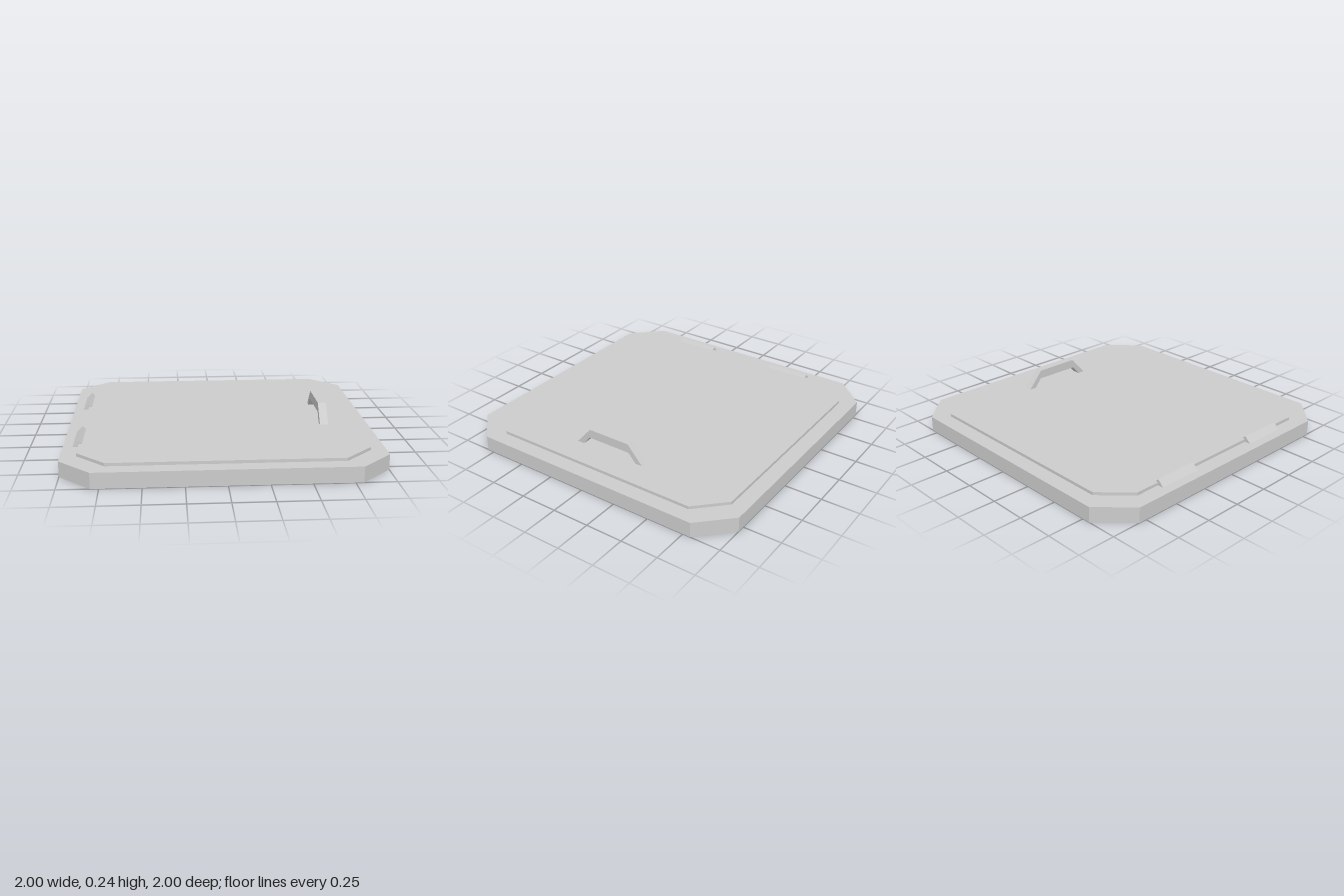
import * as THREE from 'three';

const material = new THREE.MeshStandardMaterial({ color: 0xcccccc, flatShading: true });
const openMaterial = material.clone();
openMaterial.side = THREE.DoubleSide;

// Square outline with chamfered corners, scaled by s
function outline(s) {
  const a = s, b = 0.8 * s;
  return [[a, -b], [a, b], [b, a], [-b, a], [-a, b], [-a, -b], [-b, -a], [b, -a]]
    .map(([x, y]) => new THREE.Vector2(x, y));
}

function addMesh(parent, name, geometry, mat = material) {
  const mesh = new THREE.Mesh(geometry, mat);
  mesh.name = name;
  parent.add(mesh);
  return mesh;
}

// Prism from a profile, centred along its depth
function prism(points, depth) {
  const shape = new THREE.Shape(points.map(([x, y]) => new THREE.Vector2(x, y)));
  return new THREE.ExtrudeGeometry(shape, { depth, bevelEnabled: false }).translate(0, 0, -depth / 2);
}

// Upright band that follows the outline
function wallBand(points, y0, y1) {
  const positions = [];
  points.forEach((p, i) => {
    const q = points[(i + 1) % points.length];
    const a = [p.x, y0, -p.y], b = [q.x, y0, -q.y], c = [q.x, y1, -q.y], d = [p.x, y1, -p.y];
    positions.push(...a, ...b, ...c, ...a, ...c, ...d);
  });
  const geometry = new THREE.BufferGeometry();
  geometry.setAttribute('position', new THREE.Float32BufferAttribute(positions, 3));
  geometry.computeVertexNormals();
  return geometry;
}

export function createModel() {
  const group = new THREE.Group();
  group.name = 'hatch';

  // Frame: thin shell, open underneath
  const frame = new THREE.Group();
  frame.name = 'frame';
  group.add(frame);
  addMesh(frame, 'frameWall', wallBand(outline(1), 0, 0.1), openMaterial);
  const ring = new THREE.Shape(outline(1));
  ring.holes.push(new THREE.Path(outline(0.9).reverse()));
  addMesh(frame, 'frameTop', new THREE.ShapeGeometry(ring).rotateX(-Math.PI / 2).translate(0, 0.1, 0), openMaterial);

  // Lid: solid plate set into the frame
  const lid = new THREE.ExtrudeGeometry(new THREE.Shape(outline(0.9)), { depth: 0.1, bevelEnabled: false });
  addMesh(group, 'lid', lid.rotateX(-Math.PI / 2).translate(0, 0.02, 0));

  // Hinges: ridged strips on the right edge
  for (const side of [-1, 1]) {
    const hinge = addMesh(group, 'hinge', prism([[-0.04, 0], [0.04, 0], [0, 0.04]], 0.3));
    hinge.position.set(-0.9, 0.1, side * 0.4);
  }

  // Handle: bent bar with sloping legs
  const half = [[0.26, 0.115], [0.15, 0.24]];
  const inner = [[0.155, 0.18], [0.21, 0.115]];
  const mirror = (pts) => pts.map(([z, y]) => [-z, y]).reverse();
  const handle = addMesh(group, 'handle', prism([...half, ...mirror(half), ...mirror(inner), ...inner], 0.055));
  handle.rotation.y = Math.PI / 2;
  handle.position.x = 0.695;

  return group;
}
